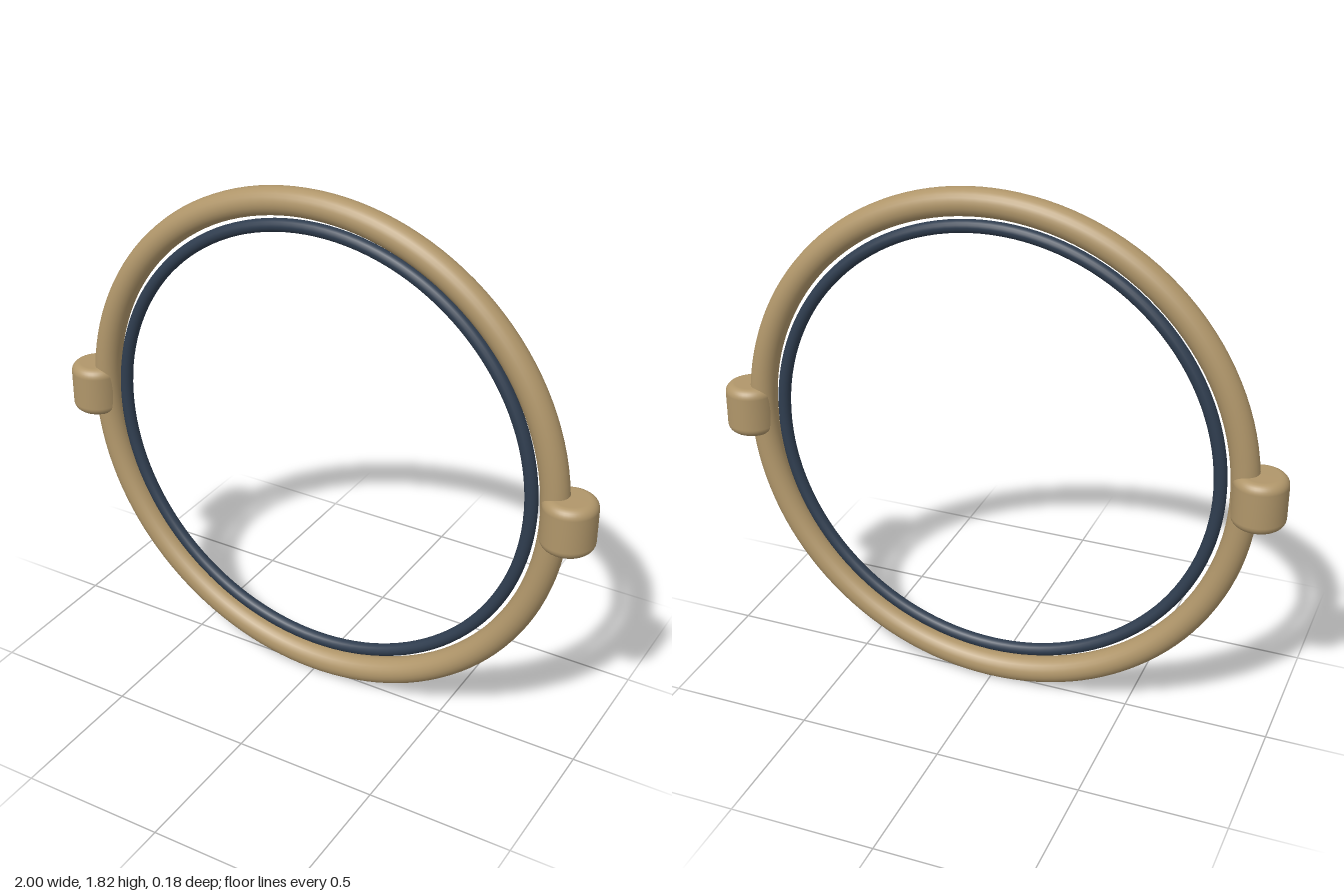
import * as THREE from 'three';

export function createModel() {
  const model = new THREE.Group();
  model.name = 'pivotRing';
  const brass = new THREE.MeshStandardMaterial({ color: 0xb0966a });
  brass.name = 'brass';
  const navy = new THREE.MeshStandardMaterial({ color: 0x2f3d4f });
  navy.name = 'dark blue';
  const centreY = 0.91;

  function add(name, geometry, material, x = 0) {
    const mesh = new THREE.Mesh(geometry, material);
    mesh.name = name;
    mesh.position.set(x, centreY, 0);
    model.add(mesh);
  }

  // Two concentric upright rings
  add('outerRing', new THREE.TorusGeometry(0.862, 0.047, 24, 128), brass);
  add('innerRing', new THREE.TorusGeometry(0.781, 0.022, 16, 128), navy);

  // Round-edged pivot knob, turned about the vertical axis
  const radius = 0.09, half = 0.09, fillet = 0.032, steps = 8;
  const profile = [new THREE.Vector2(0, -half)];
  for (const side of [-1, 1]) {
    for (let i = 0; i <= steps; i++) {
      const a = (side < 0 ? i / steps - 1 : i / steps) * Math.PI / 2;
      profile.push(new THREE.Vector2(
        radius - fillet + fillet * Math.cos(a),
        side * (half - fillet) + fillet * Math.sin(a)));
    }
  }
  profile.push(new THREE.Vector2(0, half));
  const knob = new THREE.LatheGeometry(profile, 40);
  add('leftKnob', knob, brass, 0.91);
  add('rightKnob', knob, brass, -0.91);

  return model;
}
